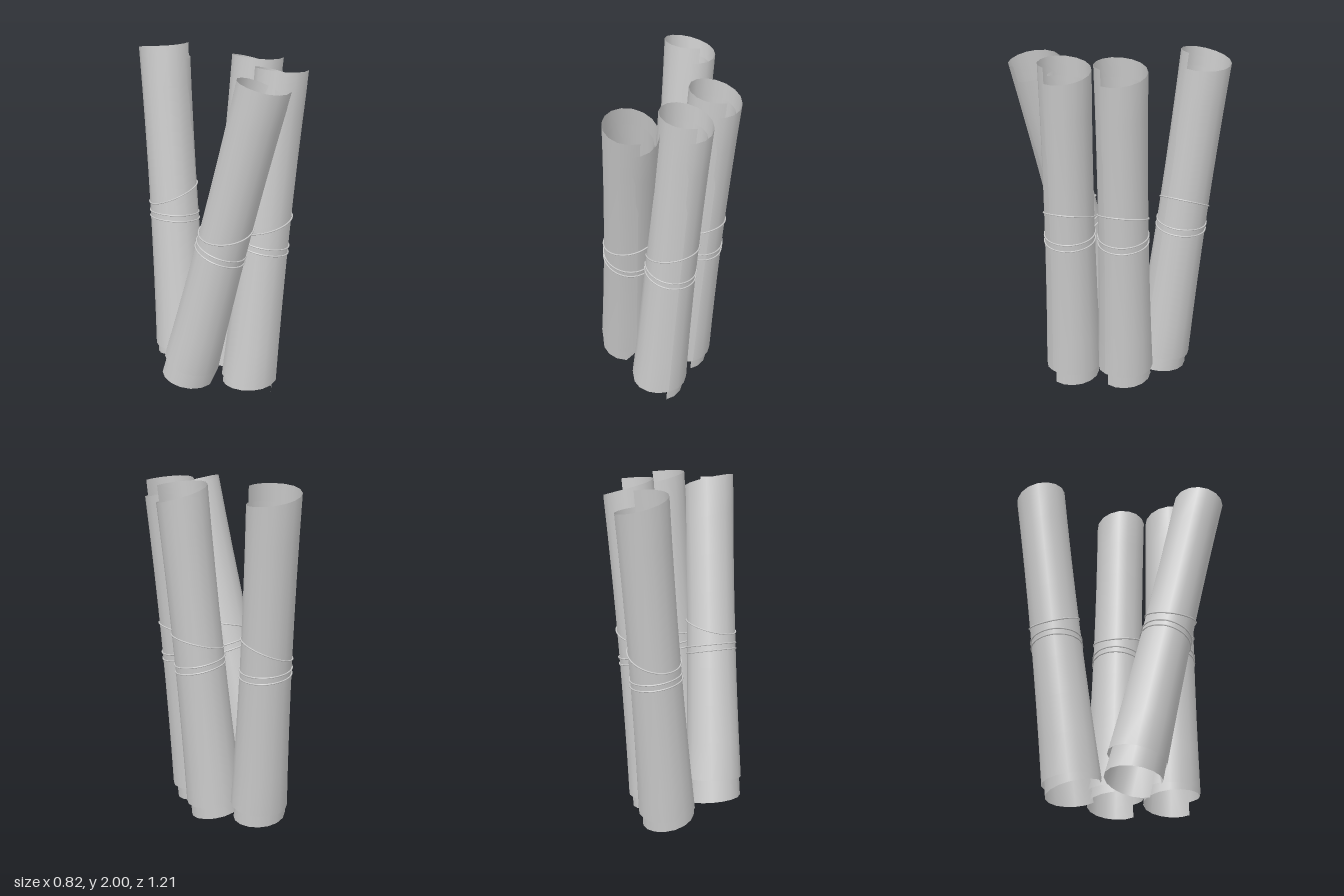
import * as THREE from 'three';

const SEAM = THREE.MathUtils.degToRad(32);
const SIDES = 16; // sides per turn of the roll
const WAIST = 0.012; // how far the string pulls the roll in at mid-height
const material = new THREE.MeshStandardMaterial({ color: 0xcccccc, side: THREE.DoubleSide });

// Spiral cross-section: t counts turns from the inner edge (0) to the outer edge (2);
// the outer turn (t > 1) closes on itself
const angleAt = (t) => SEAM - Math.PI * 2 * t;
const bottomRadius = (t) => 0.144 + 0.022 * Math.min(t, 1);
const topRadius = (t) => 0.118 + 0.031 * Math.min(t, 1);
const topHeight = (t) => (t < 1
  ? 1.83 + 0.07 * t
  : 1.9 + 0.09 * THREE.MathUtils.smoothstep(t, 1, 1.75));

// Sheet rolled twice; the inner turn slips out at the bottom and sinks at the top
function sheetGeometry(innerEnd, outerBottom) {
  const geo = new THREE.PlaneGeometry(1, 1, SIDES * 2, 8);
  const pos = geo.attributes.position;
  for (let i = 0; i < pos.count; i++) {
    const t = (pos.getX(i) + 0.5) * 2;
    const v = pos.getY(i) + 0.5;
    const r = THREE.MathUtils.lerp(bottomRadius(t), topRadius(t), v) - WAIST * 4 * v * (1 - v);
    const low = t < 1 ? THREE.MathUtils.lerp(0.012, innerEnd, t ** 1.4) : outerBottom;
    const y = THREE.MathUtils.lerp(low, topHeight(t), v);
    pos.setXYZ(i, r * Math.cos(angleAt(t)), y, r * Math.sin(angleAt(t)));
  }
  geo.computeVertexNormals();
  return geo;
}

// One loop of string hugging the outer turn, tilted between its +x and -x heights
function stringGeometry(yRight, yLeft) {
  const points = [];
  for (let i = 0; i < SIDES; i++) {
    const a = angleAt(i / SIDES);
    const y = THREE.MathUtils.lerp(yLeft, yRight, (Math.cos(a) + 1) / 2);
    points.push(new THREE.Vector3(0.148 * Math.cos(a), y, 0.148 * Math.sin(a)));
  }
  const curve = new THREE.CatmullRomCurve3(points, true);
  return new THREE.TubeGeometry(curve, 48, 0.0045, 6, true);
}

export function createModel() {
  const model = new THREE.Group();
  model.name = 'paperRolls';

  const strings = [
    stringGeometry(1.14, 1.035),
    stringGeometry(0.955, 0.985),
    stringGeometry(0.915, 0.95),
  ];

  // Each roll: lower and upper point of its axis, then the heights of the
  // inner turn's lower end and the outer turn's lower rim
  const rolls = [
    ['backRoll', [-0.199, 0.11, -0.235], [-0.227, 1.95, -0.463], 0.11, 0.11],
    ['middleRoll', [0.041, 0.1, -0.065], [0.228, 1.95, -0.086], 0.1, 0.1],
    ['sideRoll', [0.09, 0.1, 0.247], [0.265, 1.95, 0.223], 0.1, 0.1],
    ['frontRoll', [-0.25, 0.135, 0.135], [0.082, 1.92, 0.455], 0.09, 0.17],
  ];

  for (const [name, low, high, innerEnd, outerBottom] of rolls) {
    const base = new THREE.Vector3(...low);
    const dir = new THREE.Vector3(...high).sub(base).normalize();
    const roll = new THREE.Group();
    roll.name = name;
    roll.quaternion.setFromUnitVectors(new THREE.Vector3(0, 1, 0), dir);
    roll.position.copy(base).addScaledVector(dir, -0.1);

    const paper = new THREE.Mesh(sheetGeometry(innerEnd, outerBottom), material);
    paper.name = 'rolledSheet';
    roll.add(paper);
    for (const geo of strings) {
      const loop = new THREE.Mesh(geo, material);
      loop.name = 'stringLoop';
      roll.add(loop);
    }
    model.add(roll);
  }
  return model;
}
